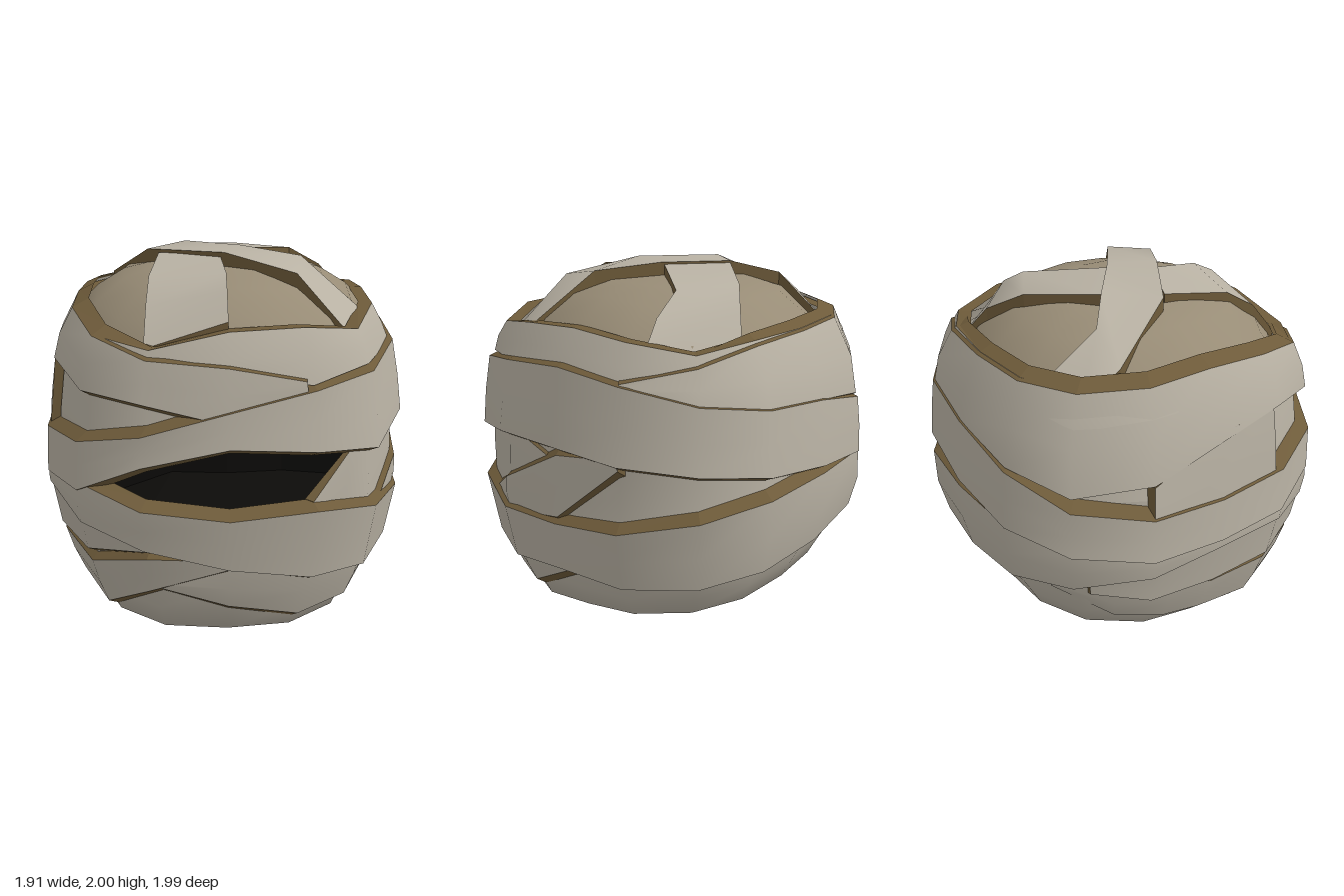
import * as THREE from 'three';
import { mergeVertices } from 'three/addons/utils/BufferGeometryUtils.js';

const cloth = new THREE.MeshStandardMaterial({ color: 0xb8b1a3, side: THREE.DoubleSide });
const edge = new THREE.MeshStandardMaterial({ color: 0x6e5b3a, side: THREE.DoubleSide, flatShading: true });
const skin = new THREE.MeshStandardMaterial({ color: 0x988c76, side: THREE.DoubleSide });
const dark = new THREE.MeshStandardMaterial({ color: 0x0c0b09, side: THREE.DoubleSide, flatShading: true });

// Sixteen-sided footprint: station 0 is the front, 4 is +x, 8 the back, 12 is -x
const quarter = [[0, 1], [0.43, 0.96], [0.75, 0.77], [0.94, 0.41], [0.96, 0]];
const stations = [];
for (let k = 0; k < 16; k++) {
  const m = k % 8, q = quarter[m <= 4 ? m : 8 - m];
  const back = k > 4 && k < 12, left = k > 8;
  stations.push([left ? -q[0] : q[0], back ? -q[1] : q[1]]);
}
function station(k) {
  const i = Math.floor(k), f = k - i;
  const a = stations[(i + 32) % 16], b = stations[(i + 33) % 16];
  return [a[0] + (b[0] - a[0]) * f, a[1] + (b[1] - a[1]) * f];
}

// Head profile: level and radial scale
const profile = [[0.04, 0], [0.095, 0.46], [0.235, 0.76], [0.5, 0.875], [0.85, 0.935], [1.2, 0.915],
  [1.45, 0.88], [1.6, 0.845], [1.8, 0.73]];
function radius(e) {
  if (e <= profile[0][0]) return 0;
  for (let i = 1; i < profile.length; i++) {
    const [e0, r0] = profile[i - 1], [e1, r1] = profile[i];
    if (e <= e1) return r0 + (r1 - r0) * (e - e0) / (e1 - e0);
  }
  return 0.73;
}

// The underside tilts: low at the chin, higher at the nape
const TILT = 0.22, FADE = 0.9;
function levelPoint(k, e, scale = radius(e)) {
  const [x, z] = station(k);
  const drop = TILT * z * scale * Math.max(0, 1 - e / FADE);
  return [x * scale, e - drop, z * scale];
}
function surfacePoint(k, y, offset) {
  const [x, z] = station(k);
  const e = y < FADE ? (y + TILT * z * 0.9) / (1 + TILT * z * 0.9 / FADE) : y;
  const s = radius(e) + offset;
  return [x * s, y, z * s];
}

// Surface through rows of points, rows running bottom to top
function grid(rows) {
  const n = rows[0].length, index = [];
  for (let r = 0; r < rows.length - 1; r++) {
    for (let c = 0; c < n - 1; c++) {
      const a = r * n + c, d = a + n;
      index.push(a, a + 1, d + 1, a, d + 1, d);
    }
  }
  let g = new THREE.BufferGeometry();
  g.setAttribute('position', new THREE.Float32BufferAttribute(rows.flat(2), 3));
  g.setIndex(index);
  g = mergeVertices(g, 1e-4);
  g.computeVertexNormals();
  return g;
}
function add(parent, name, rows, material) {
  const mesh = new THREE.Mesh(grid(rows), material);
  mesh.name = name;
  parent.add(mesh);
}
const range = (a, b) => Array.from({ length: b - a + 1 }, (_, i) => a + i);

// A wrap is a list of [station, top, bottom], raised above the head with sloping brown edges
function wrap(parent, name, list, offset, inner = -0.005, bevel = 0.04) {
  const g = new THREE.Group();
  g.name = name;
  const last = list.length - 1;
  const open = list[last][0] - list[0][0] !== 16;
  const outer = [0, 0.5, 1].map(t =>
    list.map(([k, top, bot]) => surfacePoint(k, bot + (top - bot) * t, offset)));
  const foot = (column, dy) => list.map((p, i) => {
    const slide = open ? (i === last ? 0.08 : i === 0 ? -0.08 : 0) : 0;
    return surfacePoint(p[0] + slide, p[column] + dy, inner);
  });
  const inTop = foot(1, bevel), inBot = foot(2, -bevel);
  add(g, 'cloth', outer, cloth);
  add(g, 'topEdge', [outer[2], inTop], edge);
  add(g, 'bottomEdge', [inBot, outer[0]], edge);
  if (open) {
    add(g, 'startEdge', [[inBot[0], outer[0][0]], [inTop[0], outer[2][0]]], edge);
    add(g, 'finishEdge', [[outer[0][last], inBot[last]], [outer[2][last], inTop[last]]], edge);
  }
  parent.add(g);
}
function ring(tops, bottoms) {
  return range(0, 16).map(k => [k, tops[k % 16], bottoms[k % 16]]);
}

// Top of the head and the straps across it
const scalpY = (x, z) => 1.935 - 0.68 * (x * x + z * z) ** 2;
function strap(parent, name, pairs, height) {
  const g = new THREE.Group();
  g.name = name;
  const row = (side, h) => pairs.map(p => [p[side][0], scalpY(...p[side]) + h, p[side][1]]);
  const [a, b, a0, b0] = [row(0, height), row(1, height), row(0, -0.03), row(1, -0.03)];
  add(g, 'cloth', [a, b], cloth);
  add(g, 'sideEdge', [a0, a], edge);
  add(g, 'sideEdge', [b, b0], edge);
  for (const i of [0, pairs.length - 1]) add(g, 'endEdge', [[a0[i], b0[i]], [a[i], b[i]]], edge);
  parent.add(g);
}

export function createModel() {
  const model = new THREE.Group();
  model.name = 'wrappedHead';

  // Head shell, left open at the eye slit
  const shell = (name, levels, from, to) =>
    add(model, name, levels.map(e => range(from, to).map(k => levelPoint(k, e))), cloth);
  shell('lowerHead', [0.04, 0.095, 0.235, 0.36, 0.5, 0.7, 0.85], 0, 16);
  shell('middleHead', [0.85, 1.03, 1.2], 2, 14);
  shell('upperHead', [1.2, 1.45, 1.6], 0, 16);

  // Dark hollow behind the eye slit
  add(model, 'eyeHollow', [0.85, 0.95, 1.12, 1.2].map((e, r) => range(-2, 2).map(k => {
    const rim = r === 0 || r === 3 || Math.abs(k) === 2;
    return levelPoint(k, e, radius(e) * (rim ? 1 : 0.7));
  })), dark);

  // Scalp
  add(model, 'scalp', [0.83, 0.78, 0.7, 0.55, 0.35, 0].map(s => range(0, 16).map(k => {
    const [x, z] = station(k);
    return [x * s, scalpY(x * s, z * s), z * s];
  })), skin);

  // Full wraps
  wrap(model, 'crownWrap', ring(
    [1.72, 1.73, 1.69, 1.75, 1.77, 1.75, 1.71, 1.75, 1.75, 1.75, 1.73, 1.74, 1.74, 1.71, 1.67, 1.64],
    [1.5, 1.48, 1.53, 1.56, 1.56, 1.54, 1.5, 1.5, 1.5, 1.5, 1.5, 1.5, 1.5, 1.5, 1.5, 1.5]), 0.046, -0.025, 0);
  wrap(model, 'browWrap', ring(
    [1.37, 1.46, 1.5, 1.57, 1.6, 1.57, 1.5, 1.45, 1.41, 1.32, 1.2, 1.13, 1.11, 1.13, 1.17, 1.25],
    [1.2, 1.17, 1.12, 1.2, 1.21, 1.2, 1.18, 1.13, 1.07, 1.01, 0.95, 0.89, 0.87, 0.88, 0.92, 1.1]), 0.068);
  wrap(model, 'cheekWrap', ring(
    [0.84, 0.87, 0.81, 0.77, 0.8, 0.86, 0.95, 1.01, 1.03, 1.02, 0.97, 0.92, 0.89, 0.91, 0.96, 0.88],
    [0.56, 0.49, 0.46, 0.47, 0.52, 0.53, 0.57, 0.61, 0.64, 0.69, 0.74, 0.78, 0.82, 0.82, 0.74, 0.66]), 0.063);

  // Partial wraps
  wrap(model, 'foreheadWrap', [[5, 1.58, 1.53], [6, 1.66, 1.48], [7, 1.73, 1.44], [8, 1.74, 1.41],
    [9, 1.74, 1.34], [10, 1.74, 1.27], [11, 1.75, 1.31], [12, 1.76, 1.42], [13, 1.74, 1.49],
    [14, 1.67, 1.42], [15, 1.6, 1.4], [16, 1.57, 1.31], [16.9, 1.5, 1.42]], 0.06, -0.005, 0.04);
  wrap(model, 'leftTempleWrap', [[11, 1.3, 1.05], [12, 1.47, 1.05], [12.9, 1.48, 1.1]], 0.057);
  wrap(model, 'rightEyeWrap', [[1, 0.9, 0.8], [1.6, 1.1, 0.8], [2, 1.2, 0.8], [3, 1.22, 0.8],
    [4, 1.1, 0.85]], 0.015, -0.005, 0.01);
  wrap(model, 'rightSideWrap', [[2.4, 0.8, 0.74], [3, 0.94, 0.75], [4, 1.16, 0.83], [5, 1.22, 1.17]], 0.038);
  wrap(model, 'leftJawWrap', [[10.2, 0.74, 0.68], [11, 0.79, 0.6], [12, 0.85, 0.57], [13, 0.83, 0.57],
    [14, 0.76, 0.58], [15, 0.68, 0.65]], 0.052);
  wrap(model, 'leftChinWrap', [[9.6, 0.72, 0.68], [10.5, 0.7, 0.45], [11.3, 0.64, 0.36], [12, 0.55, 0.31],
    [13, 0.53, 0.26], [14, 0.5, 0.22], [15, 0.6, 0.41], [16, 0.6, 0.55]], 0.04);
  wrap(model, 'rightChinWrap', [[-1, 0.48, 0.44], [0, 0.55, 0.31], [1, 0.55, 0.22], [2, 0.52, 0.24],
    [3, 0.52, 0.29], [4, 0.54, 0.5]], 0.034);

  // Straps over the top
  strap(model, 'frontStrap', [[[-0.4, 0.75], [0, 0.76]], [[-0.39, 0.6], [0, 0.63]],
    [[-0.38, 0.42], [0, 0.5]], [[-0.34, 0.05], [-0.02, 0.2]]], 0.045);
  strap(model, 'backStrap', [[[0.72, -0.4], [0.4, -0.74]], [[0.58, -0.37], [0.27, -0.63]],
    [[0.4, -0.34], [0.1, -0.5]], [[0.08, 0], [-0.2, -0.23]]], 0.055);
  strap(model, 'diagonalStrap', [[[-0.6, -0.6], [-0.4, -0.71]], [[-0.62, -0.4], [-0.42, -0.4]],
    [[-0.4, 0], [-0.2, -0.23]], [[0, 0.25], [0.1, 0]], [[0.35, 0.46], [0.4, 0.2]],
    [[0.6, 0.6], [0.72, 0.38]]], 0.066);

  return model;
}
